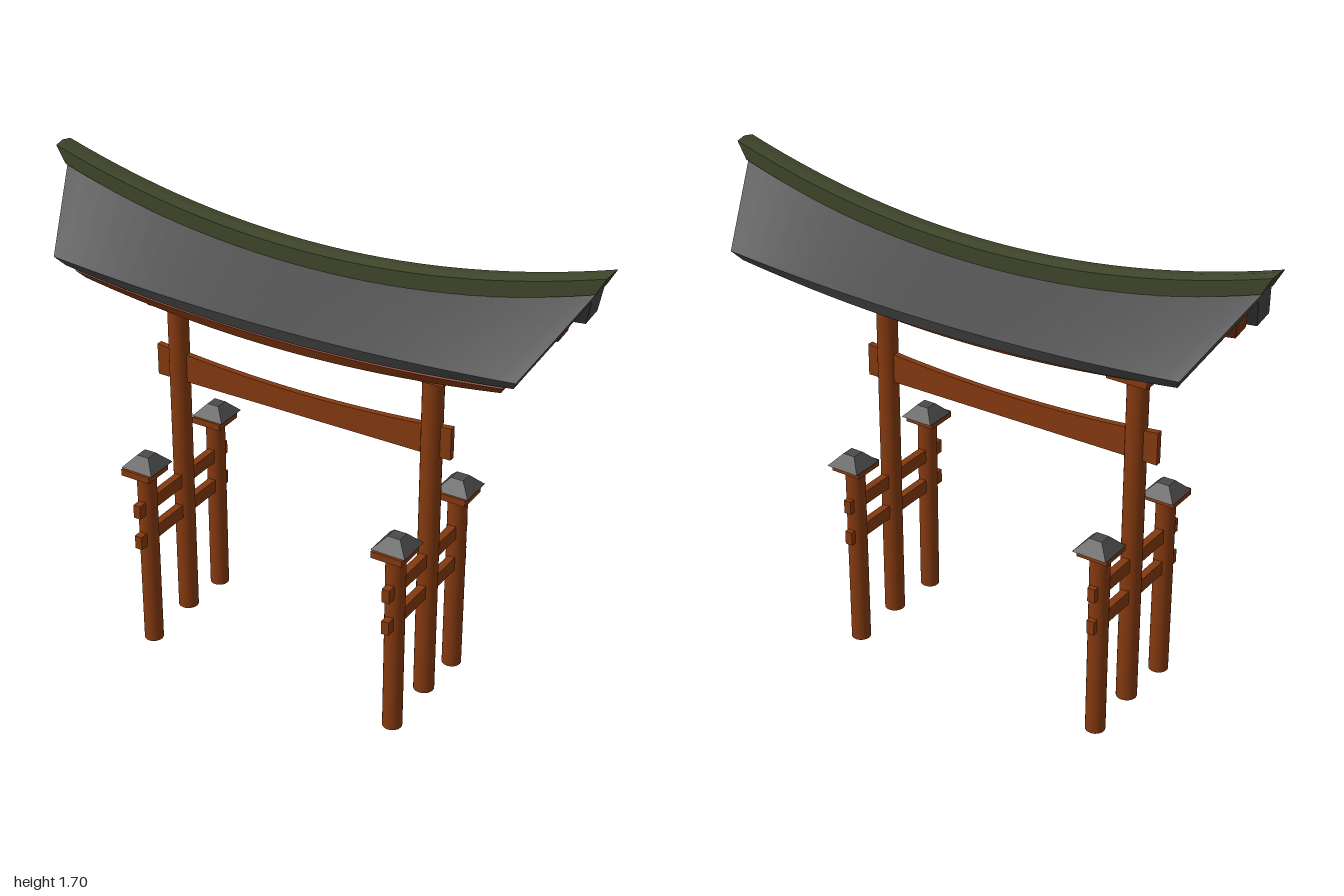
import * as THREE from 'three';
import { toCreasedNormals } from 'three/addons/utils/BufferGeometryUtils.js';

const wood = new THREE.MeshStandardMaterial({ color: 0x84390f });
wood.name = 'vermilion wood';
const slate = new THREE.MeshStandardMaterial({ color: 0x4a4a4b });
slate.name = 'dark slate';
const moss = new THREE.MeshStandardMaterial({ color: 0x3e452a });
moss.name = 'moss green';

// Joins cross-sections running along +x; section(s) gives [x, y, z] points for s in -1..1,
// ordered over the top from +z to -z and back underneath.
function loft(section, steps = 28) {
  const rings = [];
  for (let i = 0; i <= steps; i++) rings.push(section(-1 + (2 * i) / steps));
  const n = rings[0].length;
  const out = [];
  for (let i = 0; i < steps; i++) {
    for (let j = 0; j < n; j++) {
      const k = (j + 1) % n;
      const [a, b, c, d] = [rings[i][j], rings[i + 1][j], rings[i + 1][k], rings[i][k]];
      out.push(...a, ...b, ...c, ...a, ...c, ...d);
    }
  }
  for (const [ring, side] of [[rings[0], -1], [rings[steps], 1]]) {
    const flat = ring.map((p) => new THREE.Vector2(p[2], p[1]));
    for (const tri of THREE.ShapeUtils.triangulateShape(flat, [])) {
      const [a, b, c] = tri.map((t) => ring[t]);
      const nx = (b[1] - a[1]) * (c[2] - a[2]) - (b[2] - a[2]) * (c[1] - a[1]);
      if (nx * side > 0) out.push(...a, ...b, ...c);
      else out.push(...a, ...c, ...b);
    }
  }
  const g = new THREE.BufferGeometry();
  g.setAttribute('position', new THREE.Float32BufferAttribute(out, 3));
  return toCreasedNormals(g, 0.25);
}

// Ends lean inwards towards the eaves
const endX = (y, inset) => 0.84 + 0.57 * (y - 1.42) - inset;

// Turns a [z, y] profile into a sagging section
function sagging(profile, zc, inset) {
  return (s) => {
    const end = profile(1);
    return profile(s).map(([z, y], i) => [s * endX(end[i][1], inset), y, zc + z]);
  };
}

// Chevron roof layer: apex and eave heights as [middle, end], half depth, thickness
function chevron(apex, eave, half, t) {
  return (s) => {
    const ya = apex[0] + (apex[1] - apex[0]) * s * s;
    const ye = eave[0] + (eave[1] - eave[0]) * s * s;
    const ang = Math.atan2(ya - ye, half);
    const zi = half - t * Math.sin(ang);
    const yi = ye - t * Math.cos(ang);
    return [[half, ye], [0, ya], [-half, ye], [-zi, yi], [0, ya - t / Math.cos(ang)], [zi, yi]];
  };
}

export function createModel() {
  const model = new THREE.Group();
  model.name = 'shrineGate';
  const add = (name, geometry, material, x = 0, y = 0, z = 0) => {
    const m = new THREE.Mesh(geometry, material);
    m.name = name;
    m.position.set(x, y, z);
    model.add(m);
    return m;
  };
  const post = (r, h) => new THREE.CylinderGeometry(r, r, h, 24);
  const pyramid = (top, bottom, h) => {
    const g = new THREE.CylinderGeometry(top * Math.SQRT1_2, bottom * Math.SQRT1_2, h, 4);
    return toCreasedNormals(g.rotateY(Math.PI / 4), 0.2);
  };
  const zMid = 0.011;

  // Roof layers
  add('roof', loft(sagging(chevron([1.5, 1.657], [1.38, 1.42], 0.281, 0.05), -0.0135, 0)), slate);
  add('underRoof', loft(sagging(chevron([1.43, 1.572], [1.32, 1.37], 0.223, 0.043), 0.009, 0.03)), wood);

  // Ridge cap
  const ridge = (s) => {
    const y = 1.543 + 0.157 * s * s;
    return [[0.038, y - 0.065], [0.038, y - 0.006], [0, y], [-0.038, y - 0.006], [-0.038, y - 0.065]];
  };
  add('ridgeCap', loft(sagging(ridge, -0.0135, 0)), moss);

  // Trapezoid lintel under the roof
  const lintel = [[0.034, 1.272], [0.06, 1.385], [0.045, 1.42], [-0.045, 1.42], [-0.06, 1.385], [-0.034, 1.272]];
  add('lintel', loft((s) => lintel.map(([z, y]) => [-0.052 + s * 0.562, y, zMid + z]), 1), wood);

  // Tie beam with a curved top
  add('tieBeam', loft((s) => {
    const top = 1.02 + 0.033 * s * s;
    return [[0.011, 0.938], [0.011, top], [-0.011, top], [-0.011, 0.938]]
      .map(([z, y]) => [-0.054 + s * 0.565, y, 0.009 + z]);
  }), wood);

  for (const [side, x] of [['right', -0.535], ['left', 0.438]]) {
    // Main pillar and its capital
    add(side + 'Pillar', post(0.036, 1.225), wood, x, 0.6275, zMid);
    add(side + 'Capital', new THREE.BoxGeometry(0.144, 0.047, 0.147), wood, x, 1.252, 0.009);

    // Cross rails
    for (const y of [0.55, 0.427]) {
      add(side + 'Rail', new THREE.BoxGeometry(0.027, 0.05, 0.534), wood, x, y, 0.026);
    }

    // Supporting posts with small roofs
    for (const [end, z, zCap, zRoof] of [['Front', 0.228, 0.237, 0.223], ['Back', -0.19, -0.187, -0.2]]) {
      add(side + end + 'Post', post(0.034, 0.69), wood, x, 0.345, z);
      add(side + end + 'PostCap', new THREE.BoxGeometry(0.112, 0.024, 0.114), wood, x, 0.692, zCap);
      add(side + end + 'PostRoof', pyramid(0.045, 0.124, 0.042), slate, x, 0.725, zRoof);
    }
  }
  return model;
}
